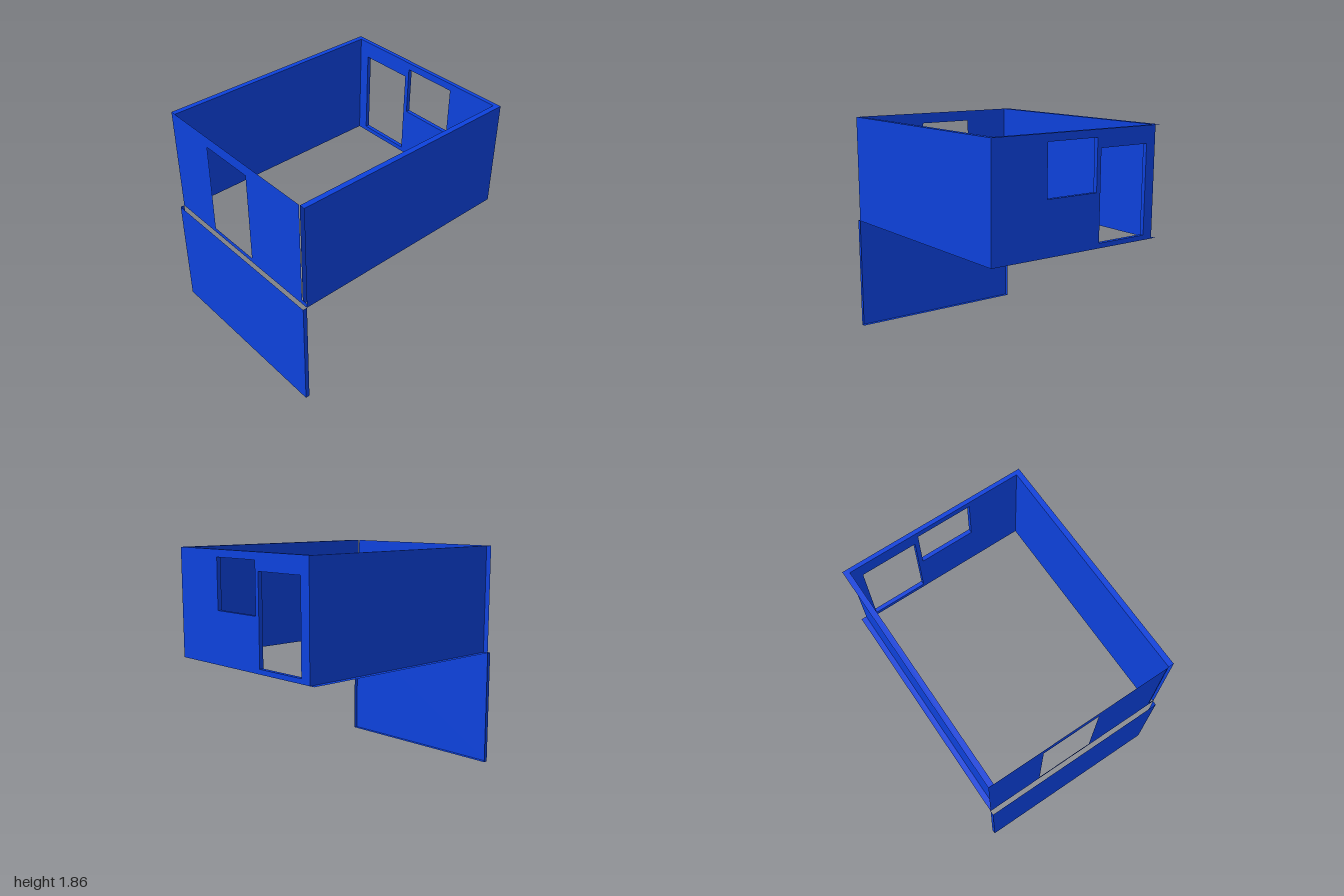
import * as THREE from 'three';

const W = 0.8, D = 1, FRONT = 0.965;      // half width, half depth, front sheet plane
const Y0 = 0.96, Y1 = 1.86, SILL = 1.0;   // wall bottom, wall top, opening sill
const SIDE = 0.045, BACK = 0.035;         // wall thicknesses

const material = new THREE.MeshStandardMaterial({ color: 0x0d42de, side: THREE.DoubleSide, flatShading: true });

// Rectangle outline, for walls and for their openings
function rect(Type, x0, x1, y0, y1) {
  return new Type([[x0, y0], [x1, y0], [x1, y1], [x0, y1]].map(p => new THREE.Vector2(...p)));
}

export function createModel() {
  const model = new THREE.Group();
  const add = (parent, name, geometry, x = 0, y = 0, z = 0) => {
    const mesh = new THREE.Mesh(geometry, material);
    mesh.name = name;
    mesh.position.set(x, y, z);
    parent.add(mesh);
    return mesh;
  };
  // Thin sheets: upright facing x, and level facing y
  const sideSheet = (parent, name, x, y0, y1, z0, z1) =>
    add(parent, name, new THREE.PlaneGeometry(z1 - z0, y1 - y0).rotateY(Math.PI / 2), x, (y0 + y1) / 2, (z0 + z1) / 2);
  const levelSheet = (parent, name, y, x0, x1, z0, z1) =>
    add(parent, name, new THREE.PlaneGeometry(x1 - x0, z1 - z0).rotateX(-Math.PI / 2), (x0 + x1) / 2, y, (z0 + z1) / 2);

  // Front wall: one thin sheet with a doorway, notched at its left end
  const front = new THREE.Shape([
    [-W, Y0], [W, Y0], [W, SILL], [W - 0.055, SILL], [W - 0.055, Y1], [-W, Y1],
  ].map(p => new THREE.Vector2(...p)));
  front.holes.push(rect(THREE.Path, -0.335, 0.145, SILL, 1.77));
  add(model, 'frontWall', new THREE.ShapeGeometry(front), 0, 0, FRONT);

  // Back wall: thick, with a doorway and a window
  const back = rect(THREE.Shape, -W + SIDE, W, Y0, Y1);
  back.holes.push(rect(THREE.Path, -0.665, -0.197, SILL, 1.72), rect(THREE.Path, -0.16, 0.31, 1.39, 1.8));
  add(model, 'backWall', new THREE.ExtrudeGeometry(back, { depth: BACK, bevelEnabled: false }), 0, 0, -D);

  // Left wall: hollow, inner and outer skins under a top cap
  const left = new THREE.Group();
  left.name = 'leftWall';
  sideSheet(left, 'leftOuterSkin', W, Y0, Y1, -D, FRONT);
  sideSheet(left, 'leftInnerSkin', W - SIDE, Y0, Y1, -D + BACK, FRONT);
  levelSheet(left, 'leftTopCap', Y1, W - SIDE, W, -D + BACK, FRONT);

  // Right wall: inner skin between top and bottom caps, open outside
  const right = new THREE.Group();
  right.name = 'rightWall';
  sideSheet(right, 'rightInnerSkin', -W + SIDE, Y0, Y1, -D + BACK, FRONT);
  levelSheet(right, 'rightTopCap', Y1, -W, -W + SIDE, -D, FRONT);
  levelSheet(right, 'rightBottomCap', Y0, -W, -W + SIDE, -D, FRONT);

  // Lower front panel: face sheet with side and bottom flanges
  const panel = new THREE.Group();
  panel.name = 'lowerPanel';
  add(panel, 'panelFace', new THREE.PlaneGeometry(2 * W, Y0), 0, Y0 / 2, D);
  for (const s of [-1, 1]) sideSheet(panel, s > 0 ? 'panelLeftFlange' : 'panelRightFlange', s * W, 0, Y0, FRONT, D);
  levelSheet(panel, 'panelBottomFlange', 0, -W, W, FRONT, D);

  model.add(left, right, panel);
  return model;
}
